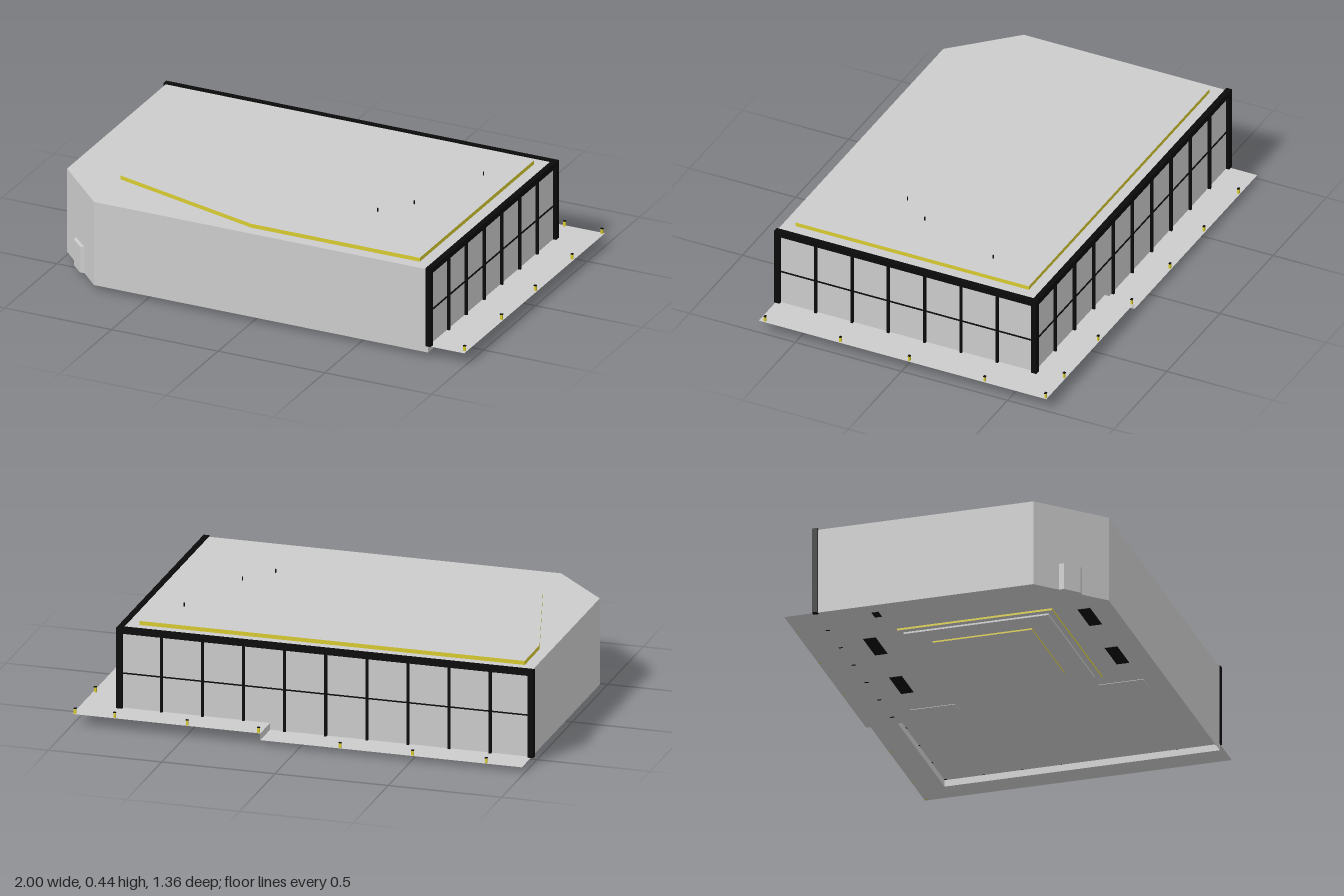
import * as THREE from 'three';

const grey = new THREE.MeshStandardMaterial({ color: 0xcccccc });
const sheet = new THREE.MeshStandardMaterial({ color: 0xcccccc, side: THREE.DoubleSide });
const black = new THREE.MeshStandardMaterial({ color: 0x0a0a0a });
const yellow = new THREE.MeshStandardMaterial({ color: 0xd8cc30 });

const LOW = 0.025, HIGH = 0.055, ROOF = 0.41, STEP = 0.165;
const EAST = 0.825, NORTH = -0.54;

// Plan outlines are given as [x, z] pairs.
const plan = pts => new THREE.Shape(pts.map(([x, z]) => new THREE.Vector2(x, -z)));
const rect = (x0, x1, z0, z1) => [[x0, z0], [x1, z0], [x1, z1], [x0, z1]];

export function createModel() {
  const model = new THREE.Group();

  const add = (name, geometry, material, parent = model) => {
    const mesh = new THREE.Mesh(geometry, material);
    mesh.name = name;
    parent.add(mesh);
    return mesh;
  };
  const group = name => {
    const g = new THREE.Group();
    g.name = name;
    model.add(g);
    return g;
  };
  // Box between two corners
  const box = (name, x0, x1, y0, y1, z0, z1, material, parent) => {
    const mesh = add(name, new THREE.BoxGeometry(x1 - x0, y1 - y0, z1 - z0), material, parent);
    mesh.position.set((x0 + x1) / 2, (y0 + y1) / 2, (z0 + z1) / 2);
    return mesh;
  };
  // Flat horizontal sheet
  const flat = (name, pts, y) =>
    add(name, new THREE.ShapeGeometry(plan(pts)).rotateX(-Math.PI / 2).translate(0, y, 0), sheet);
  // Plan outline raised between two heights
  const slab = (name, pts, y0, y1, material, parent) =>
    add(name, new THREE.ExtrudeGeometry(plan(pts), { depth: y1 - y0, bevelEnabled: false })
      .rotateX(-Math.PI / 2).translate(0, y0, 0), material, parent);
  // Vertical sheet between two plan points
  const wall = (name, [x0, z0], [x1, z1], y0, y1, parent) => {
    const g = new THREE.PlaneGeometry(Math.hypot(x1 - x0, z1 - z0), y1 - y0);
    g.rotateY(Math.atan2(z0 - z1, x1 - x0));
    g.translate((x0 + x1) / 2, (y0 + y1) / 2, (z0 + z1) / 2);
    return add(name, g, sheet, parent);
  };

  // Building shell
  const outline = [[-0.99, NORTH], [-0.99, 0.42], [-0.74, 0.675], [EAST, 0.675], [EAST, NORTH]];
  const walls = group('walls');
  const names = ['sideWall', 'chamferWall', 'frontWall', 'sideGlass', 'backGlass'];
  outline.forEach((p, i) => wall(names[i], p, outline[(i + 1) % outline.length], LOW, ROOF, walls));
  flat('roof', outline, ROOF);

  // Two floor levels that run out into the paving, joined by a step
  flat('lowerFloor', [[-0.99, -0.68], [STEP, -0.68], [STEP, 0.675], [-0.74, 0.675], [-0.99, 0.42]], LOW);
  flat('upperFloor', rect(STEP, 0.995, -0.68, 0.675), HIGH);
  wall('floorStep', [STEP, -0.68], [STEP, 0.675], LOW, HIGH);

  // Raised roof panel with a coloured edge
  slab('roofPanel', [[-0.94, -0.48], [0.76, -0.48], [0.76, 0.62], [-0.03, 0.62], [-0.74, 0.42], [-0.94, -0.27]],
    ROOF, 0.428, [grey, yellow]);
  const pins = group('roofPins');
  for (const [x, z] of [[0.395, 0.275], [0.5, 0.14], [0.635, -0.25]])
    box('roofPin', x - 0.002, x + 0.002, 0.428, 0.445, z - 0.002, z + 0.002, black, pins);

  // Sunken stepped pit below the lower floor
  const pit = group('pit');
  slab('pitRim', rect(-0.74, -0.03, -0.26, 0.425), 0.015, LOW - 0.001, [grey, yellow], pit);
  slab('pitStep', rect(-0.715, -0.055, -0.24, 0.4), 0.007, 0.015, grey, pit);
  slab('pitBase', rect(-0.61, -0.15, -0.145, 0.295), 0, 0.007, [grey, yellow], pit);

  // Dark floor panels and landings beside the step
  const panels = group('floorPanels');
  for (const [x, z, w, d] of [[-0.2, -0.41, 0.17, 0.055], [-0.6, -0.4, 0.17, 0.055],
    [-0.21, 0.545, 0.17, 0.055], [-0.61, 0.55, 0.17, 0.055], [-0.9, -0.3, 0.05, 0.03]])
    box('floorPanel', x - w / 2, x + w / 2, LOW - 0.002, LOW + 0.002, z - d / 2, z + d / 2, black, panels);
  for (const z of [-0.35, 0.48])
    box('landing', 0.05, STEP, LOW - 0.002, LOW + 0.002, z - 0.1, z + 0.1, grey, panels);

  // Black glazing frame along the side
  const sideFrame = group('sideFrame');
  const X0 = EAST - 0.01, X1 = EAST + 0.015, Z0 = NORTH - 0.015, Z1 = NORTH + 0.01;
  box('topBeam', X0, X1, 0.39, 0.415, Z0, 0.68, black, sideFrame);
  box('midRail', EAST, EAST + 0.005, 0.208, 0.213, NORTH, 0.675, black, sideFrame);
  box('cornerPost', X0, X1, HIGH, 0.415, Z0, Z1, black, sideFrame);
  box('endPost', X0, X1, HIGH, 0.415, 0.655, 0.68, black, sideFrame);
  for (let i = 0; i < 6; i++) {
    const z = 0.488 - i * 0.171;
    box('mullion', EAST - 0.005, EAST + 0.012, HIGH, 0.4, z - 0.005, z + 0.005, black, sideFrame);
  }

  // Black glazing frame along the back
  const backFrame = group('backFrame');
  box('topBeam', -1, X1, 0.39, 0.415, Z0, Z1, black, backFrame);
  box('midRail', -0.99, EAST, 0.208, 0.213, NORTH - 0.005, NORTH, black, backFrame);
  box('endPost', -1, -0.975, LOW, 0.415, Z0, Z1, black, backFrame);
  for (let i = 1; i < 10; i++) {
    const x = -0.99 + i * 0.1815;
    box('mullion', x - 0.005, x + 0.005, x < STEP ? LOW : HIGH, 0.4, NORTH - 0.012, NORTH + 0.005, black, backFrame);
  }

  // Entrance porch on the chamfered corner
  slab('entrance', [[-0.905, 0.5], [-0.905, 0.53], [-0.85, 0.585], [-0.825, 0.585]], LOW, 0.145, grey);

  // Small bollards along the paving edges
  const bollards = group('bollards');
  const spots = [-0.385, -0.03, 0.295, 0.65].map(z => [0.985, z])
    .concat([-0.83, -0.505, -0.185, 0.175, 0.49, 0.81, 0.985].map(x => [x, -0.672]));
  for (const [x, z] of spots) {
    const y = x < STEP ? LOW : HIGH;
    box('bollard', x - 0.005, x + 0.005, y, y + 0.022, z - 0.004, z + 0.004, yellow, bollards);
    box('bollardCap', x - 0.006, x + 0.006, y + 0.022, y + 0.025, z - 0.005, z + 0.005, black, bollards);
  }
  return model;
}
